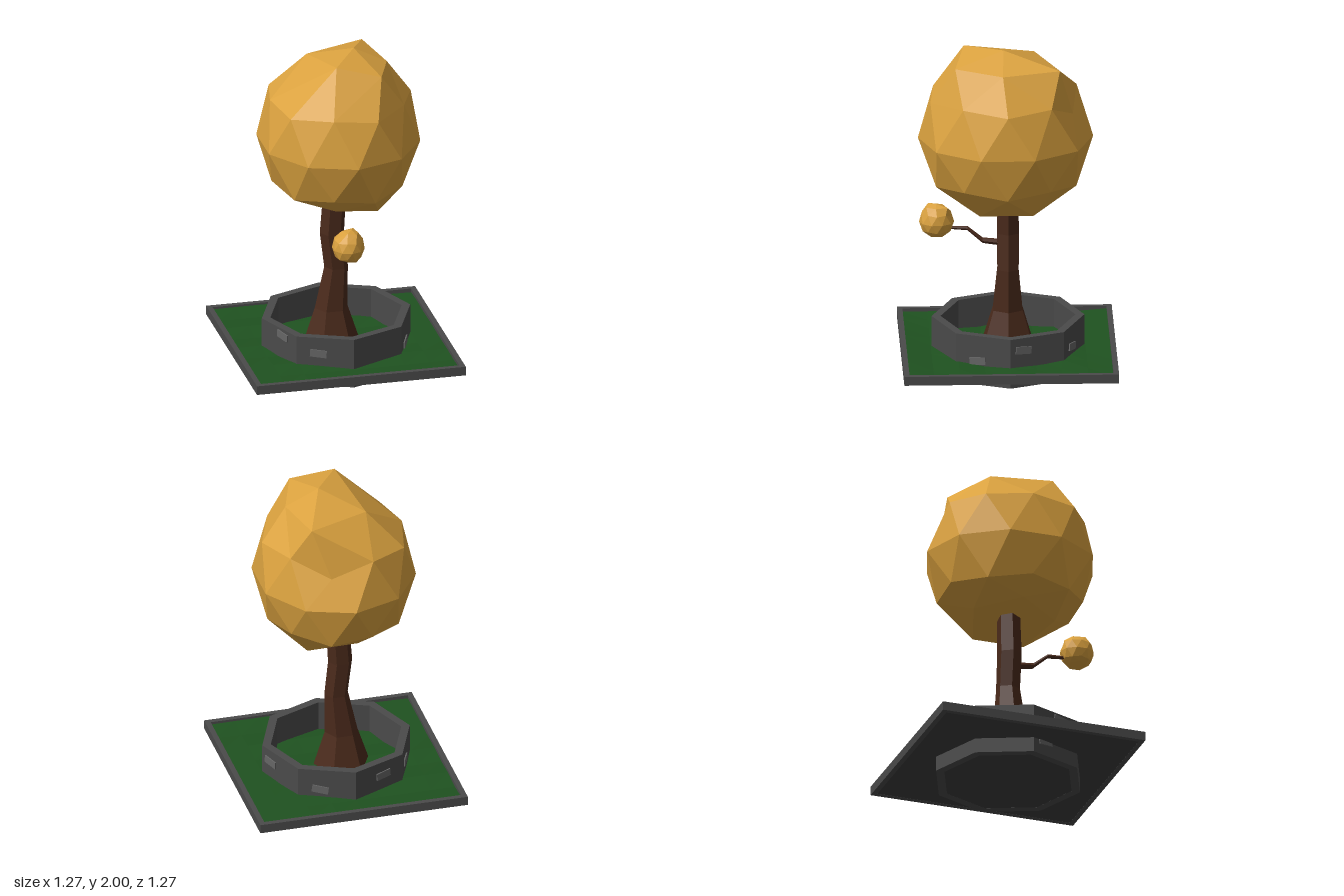
import * as THREE from 'three';

const mat = (color) => new THREE.MeshStandardMaterial({ color, flatShading: true });
const MAT = {
  leaves: mat(0xdba23f), bark: mat(0x4a2a1b), stone: mat(0x4a4a4a),
  brick: mat(0x666666), grass: mat(0x1f5220), base: mat(0x3c3c3c),
};

function add(parent, name, geometry, material) {
  const mesh = new THREE.Mesh(geometry, material);
  mesh.name = name;
  parent.add(mesh);
  return mesh;
}

// Flat-shaded geometry from points and triangles
function facets(points, faces) {
  const g = new THREE.BufferGeometry();
  g.setAttribute('position', new THREE.Float32BufferAttribute(points.flat(), 3));
  g.setIndex(faces.flat());
  const flat = g.toNonIndexed();
  flat.computeVertexNormals();
  return flat;
}

// Faceted crown: pole, 5-ring, three 10-rings, 5-ring, pole; the top is pushed out of round
function crownGeometry() {
  const ring = (n, start, fn) => Array.from({ length: n }, (_, j) => {
    const a = start + (j * Math.PI * 2) / n;
    const [r, y] = fn(j);
    return [0.01 + Math.cos(a) * r * 0.97, y, 0.015 + Math.sin(a) * r * 1.04];
  });
  const top = [[0.30, 0.47, 0.04], [0.20, 0.49, 0.32], [-0.06, 0.55, 0.26],
    [-0.14, 0.48, -0.16], [0.23, 0.48, -0.30]];
  const upper = ring(10, 0, (j) => (j % 2 ? [0.43, 0.28] : [0.455, 0.26]));
  upper[8] = [0.13, 0.18, -0.38];
  const middle = ring(10, Math.PI / 10, () => [0.5, 0]);
  const lower = ring(10, 0, (j) => (j % 2 ? [0.42, -0.24] : [0.42, -0.27]));
  const bottom = ring(5, Math.PI / 5, () => [0.26, -0.43]);
  for (const p of bottom) p[1] += Math.max(0, 0.2 - p[0]) * 0.24;

  const points = [[0.1, 0.57, 0.03], ...top, ...upper, ...middle, ...lower, ...bottom, [0, -0.38, 0]];
  const T = (k) => 1 + ((k + 5) % 5);
  const U = (j) => 6 + ((j + 10) % 10);
  const E = (j) => 16 + ((j + 10) % 10);
  const L = (j) => 26 + ((j + 10) % 10);
  const B = (k) => 36 + ((k + 5) % 5);
  const faces = [];
  for (let k = 0; k < 5; k++) {
    const j = 2 * k;
    faces.push([0, T(k + 1), T(k)], [T(k), U(j), U(j - 1)],
      [T(k), U(j + 1), U(j)], [T(k), T(k + 1), U(j + 1)]);
    faces.push([41, B(k), B(k + 1)], [B(k), L(j), L(j + 1)],
      [B(k), L(j + 1), L(j + 2)], [B(k), L(j + 2), B(k + 1)]);
  }
  for (let j = 0; j < 10; j++) {
    faces.push([U(j), E(j), E(j - 1)], [U(j), U(j + 1), E(j)],
      [E(j), L(j + 1), L(j)], [E(j), E(j + 1), L(j + 1)]);
  }
  return facets(points, faces);
}

// Six-sided limb lofted along y; each section is [x, y, z, radius]
function limbGeometry(sections, sides = 6) {
  const points = [];
  const faces = [];
  sections.forEach(([x, y, z, r], s) => {
    for (let i = 0; i < sides; i++) {
      const a = (i / sides) * Math.PI * 2;
      points.push([x + Math.cos(a) * r, y, z + Math.sin(a) * r]);
      if (!s) continue;
      const n = (i + 1) % sides;
      const lo = (s - 1) * sides;
      const hi = s * sides;
      faces.push([lo + i, hi + i, hi + n], [lo + i, hi + n, lo + n]);
    }
  });
  const last = (sections.length - 1) * sides;
  for (let i = 1; i < sides - 1; i++) {
    faces.push([0, i, i + 1], [last, last + i + 1, last + i]);
  }
  return facets(points, faces);
}

// Polygonal wall of given height, standing upright at y
function wallGeometry(sides, outer, inner, start, y, height) {
  const corners = (r) => Array.from({ length: sides }, (_, i) => {
    const a = start + (i * Math.PI * 2) / sides;
    return new THREE.Vector2(Math.cos(a) * r, Math.sin(a) * r);
  });
  const shape = new THREE.Shape(corners(outer));
  shape.holes.push(new THREE.Path(corners(inner)));
  const g = new THREE.ExtrudeGeometry(shape, { depth: height, bevelEnabled: false });
  return g.rotateX(-Math.PI / 2).translate(0, y, 0);
}

export function createModel() {
  const model = new THREE.Group();
  model.name = 'treeInPlanter';

  // Square ground plate with a raised rim
  const plate = new THREE.Group();
  plate.name = 'groundPlate';
  model.add(plate);
  add(plate, 'rim', wallGeometry(4, 0.637 * Math.SQRT2, 0.605 * Math.SQRT2, Math.PI / 4, 0.09, 0.055), MAT.stone);
  add(plate, 'slab', new THREE.BoxGeometry(1.22, 0.012, 1.22).translate(0, 0.097, 0), MAT.base);

  // Gently uneven grass
  const grass = new THREE.PlaneGeometry(1.22, 1.22, 8, 8).rotateX(-Math.PI / 2);
  const pos = grass.attributes.position;
  for (let i = 0; i < pos.count; i++) pos.setY(i, 0.125 + 0.008 * Math.sin(i * 12.9 + 1));
  add(plate, 'grass', grass, MAT.grass);

  // Octagonal planter, closed below
  const planter = new THREE.Group();
  planter.name = 'planter';
  model.add(planter);
  add(planter, 'planterWall', wallGeometry(8, 0.453, 0.4, 0, 0, 0.305), MAT.stone);
  add(planter, 'planterFloor', new THREE.CylinderGeometry(0.42, 0.42, 0.02, 8)
    .rotateY(Math.PI / 2).translate(0, 0.0105, 0), MAT.base);

  // Loose bricks on the wall: [face angle, offset along face, height, tilt]
  const bricks = [
    [-22.5, -0.04, 0.205, -0.07], [-67.5, 0.04, 0.265, -0.1], [-67.5, -0.08, 0.09, 0.1],
    [22.5, 0, 0.085, -0.08], [67.5, -0.035, 0.15, 0.1], [112.5, -0.09, 0.23, -0.08],
    [112.5, 0.08, 0.095, 0.12], [157.5, -0.04, 0.175, -0.15], [202.5, 0.03, 0.22, 0.08],
    [247.5, -0.05, 0.2, -0.1],
  ];
  for (const [deg, offset, y, tilt] of bricks) {
    const brick = add(planter, 'brick', new THREE.BoxGeometry(0.1, 0.045, 0.03), MAT.brick);
    const a = THREE.MathUtils.degToRad(deg);
    const d = 0.411;
    brick.position.set(Math.sin(a) * d + Math.cos(a) * offset, y, Math.cos(a) * d - Math.sin(a) * offset);
    brick.rotation.set(0, a, tilt, 'YXZ');
  }

  // Bent trunk with flared foot
  add(model, 'trunk', limbGeometry([
    [-0.03, 0.11, 0, 0.175], [-0.03, 0.34, 0, 0.1], [0, 0.6, 0, 0.072],
    [-0.025, 0.82, 0, 0.074], [-0.005, 1.12, 0, 0.07],
  ]), MAT.bark);

  // Side branch, lofted upright and laid forward
  add(model, 'branch', limbGeometry([
    [-0.02, 0.03, -0.755, 0.02], [-0.02, 0.15, -0.77, 0.017],
    [-0.025, 0.24, -0.845, 0.013], [-0.03, 0.36, -0.85, 0.009],
  ]).rotateX(Math.PI / 2), MAT.bark);

  // Large crown and its small copy on the branch
  const crown = crownGeometry();
  add(model, 'crown', crown, MAT.leaves).position.set(0, 1.43, 0);
  const tuft = add(model, 'branchLeaves', crown, MAT.leaves);
  tuft.position.set(-0.03, 0.89, 0.42);
  tuft.scale.setScalar(0.2);

  return model;
}
